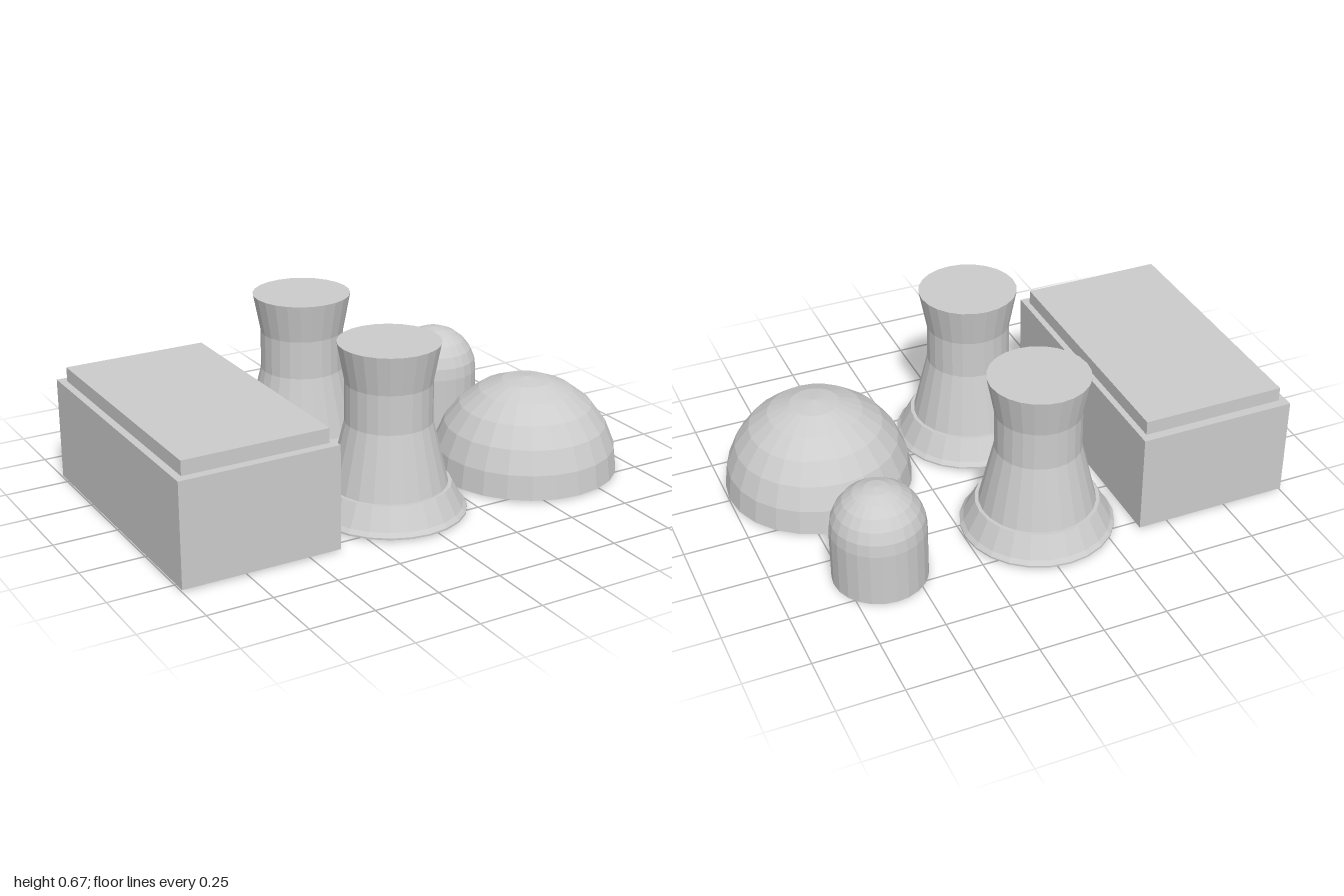
import * as THREE from 'three';

const SIDES = 24;
const material = new THREE.MeshStandardMaterial({ color: 0xcccccc, flatShading: true });

function add(parent, name, geometry, x, y, z) {
  const mesh = new THREE.Mesh(geometry, material);
  mesh.name = name;
  mesh.position.set(x, y, z);
  parent.add(mesh);
  return mesh;
}

// Closed solid of revolution; profile of [radius, height] from bottom to top
function turned(profile) {
  return new THREE.LatheGeometry(profile.map(([r, y]) => new THREE.Vector2(r, y)), SIDES);
}

// Quarter-circle profile from the equator to the pole
function domeProfile(radius, base, rings = 6) {
  const points = [];
  for (let i = 0; i <= rings; i++) {
    const a = (i / rings) * Math.PI / 2;
    points.push([i === rings ? 0 : radius * Math.cos(a), base + radius * Math.sin(a)]);
  }
  return points;
}

export function createModel() {
  const model = new THREE.Group();
  model.name = 'powerPlant';

  // Turbine hall with a slightly inset roof slab
  const hall = new THREE.Group();
  hall.name = 'turbineHall';
  add(hall, 'hallWalls', new THREE.BoxGeometry(0.62, 0.402, 1.106), -0.69, 0.209, 0.008);
  add(hall, 'hallRoof', new THREE.BoxGeometry(0.567, 0.056, 1.034), -0.688, 0.438, 0.008);
  model.add(hall);

  // Two cooling towers: flared skirt, tapered body, waist and widening rim
  const towerGeometry = turned([
    [0, 0.008], [0.297, 0.008], [0.297, 0.015], [0.283, 0.03], [0.238, 0.115],
    [0.224, 0.115], [0.165, 0.36], [0.164, 0.512], [0.193, 0.665], [0, 0.665],
  ]);
  for (const [name, z] of [['frontCoolingTower', 0.332], ['backCoolingTower', -0.335]]) {
    add(model, name, towerGeometry, -0.045, 0, z);
  }

  // Large hemispherical reactor dome
  add(model, 'reactorDome', turned([[0, 0.008], ...domeProfile(0.368, 0.008)]), 0.632, 0, 0.252);

  // Small round-topped storage tank
  add(model, 'storageTank', turned([[0, 0], [0.18, 0], ...domeProfile(0.18, 0.215)]), 0.613, 0, -0.387);

  return model;
}
